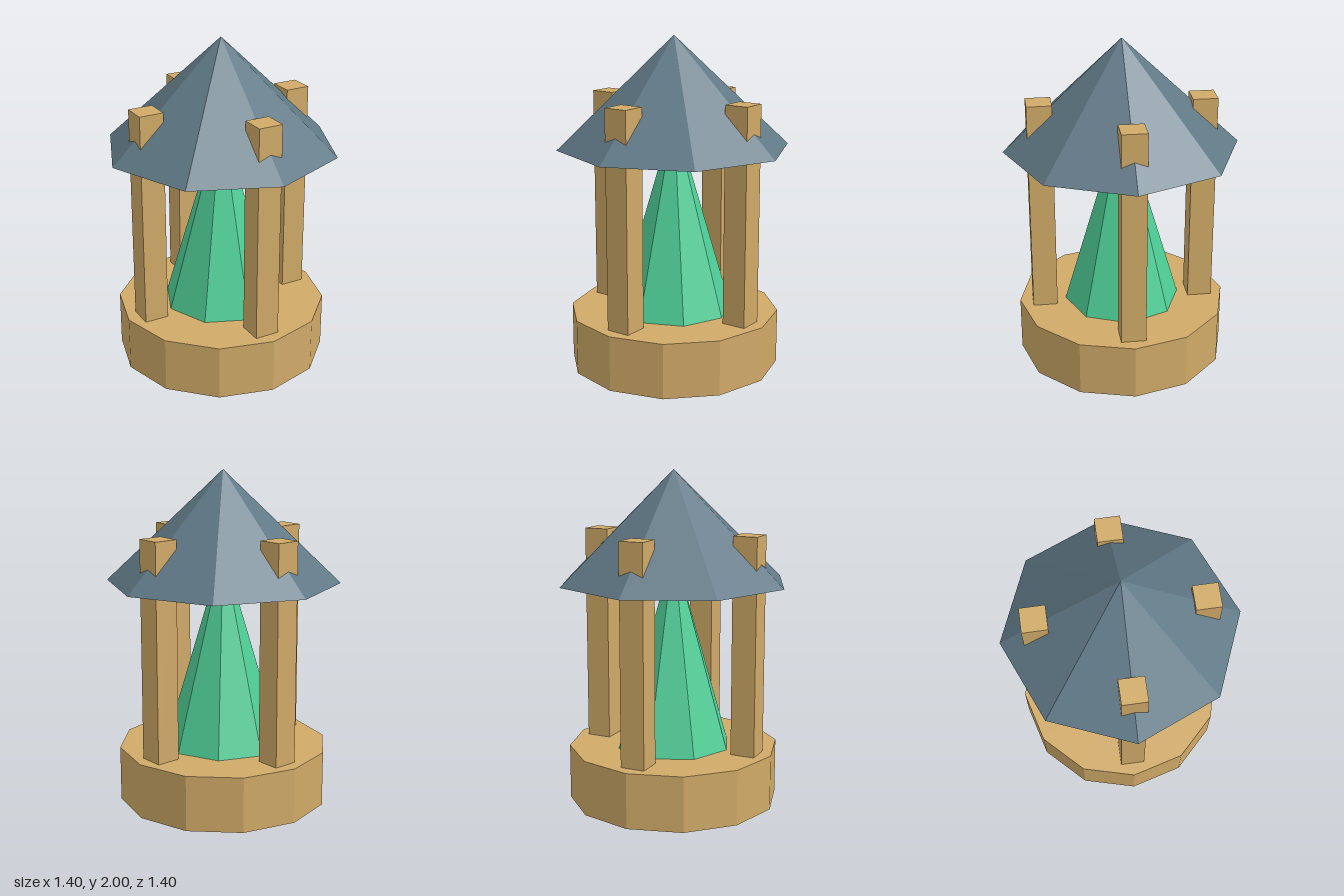
import * as THREE from 'three';

const flat = (name, color) => {
  const m = new THREE.MeshStandardMaterial({ color, flatShading: true });
  m.name = name;
  return m;
};

export function createModel() {
  const group = new THREE.Group();
  group.name = 'crystalShrine';
  const wood = flat('wood', 0xd0aa68);
  const slate = flat('slate', 0x607986);
  const green = flat('crystalGreen', 0x50d098);

  const add = (name, geometry, material, x, y, z) => {
    const mesh = new THREE.Mesh(geometry, material);
    mesh.name = name;
    mesh.position.set(x, y, z);
    group.add(mesh);
  };

  // Twelve-sided plinth
  const baseH = 0.333;
  add('base', new THREE.CylinderGeometry(0.635, 0.635, baseH, 12), wood, 0, baseH / 2, 0);

  // Tall eight-sided crystal, its tip hidden inside the roof
  const crystalH = 1.2;
  add('crystal', new THREE.ConeGeometry(0.352, crystalH, 8), green, 0, baseH + crystalH / 2, 0);

  // Four square posts that pierce the roof
  const postTop = 1.637, postH = postTop - baseH;
  const postGeometry = new THREE.BoxGeometry(0.148, postH, 0.148);
  ['front', 'left', 'back', 'right'].forEach((side, i) => {
    const a = (i * Math.PI) / 2;
    add(side + 'Post', postGeometry, wood, 0.482 * Math.sin(a), baseH + postH / 2, 0.482 * Math.cos(a));
  });

  // Eight-sided roof with a closed underside
  const eaves = 1.337, roofH = 2 - eaves;
  add('roof', new THREE.ConeGeometry(0.698, roofH, 8), slate, 0, eaves + roofH / 2, 0);

  return group;
}
